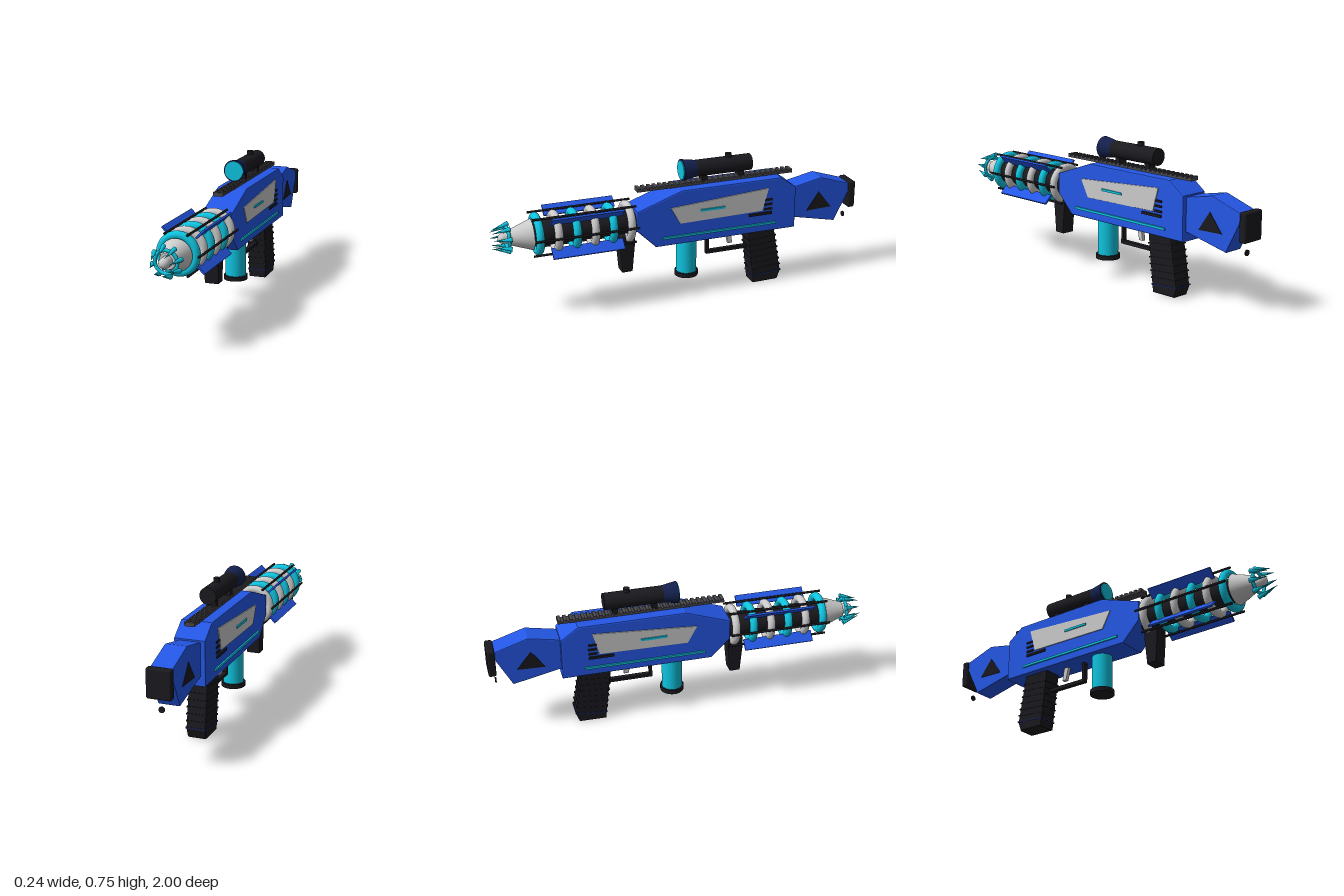
import * as THREE from 'three';
import { RoundedBoxGeometry } from 'three/addons/geometries/RoundedBoxGeometry.js';

const mat = (color) => new THREE.MeshStandardMaterial({ color });
const blue = mat(0x2457e6), cyan = mat(0x0fc4e0), black = mat(0x1a1a1f);
const grey = mat(0xcccccc), navy = mat(0x14204d), railGrey = mat(0x47474c);
const AXIS_Y = 0.447; // height of the barrel axis

export function createModel() {
  const model = new THREE.Group();

  const add = (name, geometry, material, x = 0, y = 0, z = 0, parent = model) => {
    const mesh = new THREE.Mesh(geometry, material);
    mesh.name = name;
    mesh.position.set(x, y, z);
    parent.add(mesh);
    return mesh;
  };
  const box = (name, material, w, h, d, x, y, z, parent) =>
    add(name, new THREE.BoxGeometry(w, h, d), material, x, y, z, parent);
  // Cylinder along z, r1 at the front (+z) end
  const tubeZ = (name, material, r1, r2, z1, z2, y, sides = 32) => {
    const g = new THREE.CylinderGeometry(r1, r2, z1 - z2, sides).rotateX(Math.PI / 2);
    return add(name, g, material, 0, y, (z1 + z2) / 2);
  };
  // Side profile of [z, y] points, extruded across x about the given centre
  const slab = (name, material, points, width, bevel = 0, x = 0) => {
    const shape = new THREE.Shape(points.map((p) => new THREE.Vector2(p[0], p[1])));
    const g = new THREE.ExtrudeGeometry(shape, {
      depth: width - 2 * bevel, bevelEnabled: bevel > 0, bevelSize: bevel,
      bevelThickness: bevel, bevelOffset: -bevel, bevelSegments: 2,
    });
    g.translate(0, 0, -(width - 2 * bevel) / 2).rotateY(-Math.PI / 2);
    return add(name, g, material, x);
  };

  // Receiver and stock
  slab('body', blue, [[0.26, 0.41], [0.26, 0.52], [0.02, 0.605], [-0.54, 0.605],
    [-0.63, 0.54], [-0.63, 0.31], [0.16, 0.31]], 0.162, 0.007);
  slab('stock', blue, [[-0.62, 0.36], [-0.62, 0.53], [-0.79, 0.565], [-0.96, 0.51],
    [-0.96, 0.46], [-0.88, 0.303]], 0.112, 0.005);
  add('buttPad', new RoundedBoxGeometry(0.126, 0.148, 0.04, 2, 0.01), black, 0, 0.443, -0.98);
  tubeZ('stockStud', black, 0.015, 0.015, -0.96, -0.967, 0.31, 16);

  // Decoration on both flanks
  for (const s of [1, -1]) {
    slab('sidePanel', grey, [[0.08, 0.518], [-0.47, 0.556], [-0.435, 0.432], [0.03, 0.425]],
      0.008, 0.002, s * 0.082);
    box('panelLight', cyan, 0.01, 0.012, 0.14, s * 0.087, 0.485, -0.15);
    box('lowerLight', cyan, 0.014, 0.012, 0.64, s * 0.082, 0.356, -0.195);
    for (let i = 0; i < 3; i++) {
      box('vent', black, 0.01, 0.011, 0.045, s * 0.082, 0.49 - i * 0.026, -0.47);
    }
    box('longVent', black, 0.01, 0.014, 0.13, s * 0.083, 0.415, -0.425);
    slab('stockTriangle', black, [[-0.78, 0.485], [-0.855, 0.39], [-0.71, 0.385]],
      0.006, 0, s * 0.056);
  }

  // Toothed top rail
  const rail = new THREE.Group();
  rail.name = 'topRail';
  model.add(rail);
  box('railBase', railGrey, 0.05, 0.012, 0.87, 0, 0.61, -0.195, rail);
  for (let i = 0; i < 29; i++) {
    box('railTooth', railGrey, 0.054, 0.012, 0.017, 0, 0.618, 0.23 - i * 0.0304, rail);
  }

  // Scope
  tubeZ('scopeTube', black, 0.044, 0.044, -0.06, -0.392, 0.687);
  tubeZ('scopeBell', navy, 0.057, 0.044, -0.008, -0.085, 0.687);
  tubeZ('scopeLens', cyan, 0.05, 0.05, -0.003, -0.02, 0.687);
  add('scopeKnob', new THREE.CylinderGeometry(0.017, 0.017, 0.05, 20), black, 0, 0.724, -0.27);
  for (const z of [-0.13, -0.335]) box('scopeMount', black, 0.05, 0.04, 0.028, 0, 0.638, z);

  // Barrel with alternating coils
  tubeZ('barrel', black, 0.064, 0.064, 0.8, 0.24, AXIS_Y);
  for (let i = 0; i < 6; i++) {
    add('coil', new THREE.TorusGeometry(0.089, 0.021, 14, 48), i % 2 ? cyan : grey,
      0, AXIS_Y, 0.292 + i * 0.0955);
  }
  // Rods and diagonal fins around the coils
  for (let i = 0; i < 6; i++) {
    const a = i * Math.PI / 3;
    const rod = tubeZ('guideRod', black, 0.006, 0.006, 0.8, 0.26, AXIS_Y, 10);
    rod.position.x = 0.113 * Math.cos(a);
    rod.position.y += 0.113 * Math.sin(a);
  }
  for (let i = 0; i < 4; i++) {
    const a = Math.PI / 4 + i * Math.PI / 2;
    const fin = box('coolingFin', blue, 0.06, 0.01, 0.375,
      0.121 * Math.cos(a), AXIS_Y + 0.121 * Math.sin(a), 0.525);
    fin.rotation.z = a;
  }

  // Muzzle: cone, rounded tip and a crown of spikes
  tubeZ('muzzleCone', grey, 0.04, 0.08, 0.905, 0.795, AXIS_Y);
  tubeZ('muzzleCore', grey, 0.027, 0.027, 0.94, 0.9, AXIS_Y);
  add('muzzleTip', new THREE.SphereGeometry(0.027, 24, 16), grey, 0, AXIS_Y, 0.94);
  add('crownRing', new THREE.TorusGeometry(0.055, 0.009, 10, 40), cyan, 0, AXIS_Y, 0.918);
  const up = new THREE.Vector3(0, 1, 0);
  for (let i = 0; i < 8; i++) {
    const a = 0.22 + i * Math.PI / 4;
    const at = (r, z) => new THREE.Vector3(r * Math.cos(a), AXIS_Y + r * Math.sin(a), z);
    const base = at(0.073, 0.907), tip = at(0.046, 1);
    const dir = tip.clone().sub(base);
    const mid = base.clone().add(tip).multiplyScalar(0.5);
    const spike = add('crownSpike', new THREE.ConeGeometry(0.0125, dir.length(), 8), cyan,
      mid.x, mid.y, mid.z);
    spike.quaternion.setFromUnitVectors(up, dir.normalize());
  }

  // Foregrip
  slab('foregrip', black, [[0.345, 0.375], [0.345, 0.32], [0.333, 0.175], [0.277, 0.175],
    [0.262, 0.32], [0.262, 0.375]].reverse(), 0.078, 0.006);

  // Energy cell
  add('energyCell', new THREE.CylinderGeometry(0.054, 0.054, 0.21, 32), cyan, 0, 0.215, -0.035);
  add('cellCap', new THREE.CylinderGeometry(0.063, 0.063, 0.024, 32), black, 0, 0.109, -0.035);

  // Trigger and guard
  box('guardFront', black, 0.024, 0.115, 0.016, 0, 0.257, -0.153);
  box('guardBottom', black, 0.024, 0.018, 0.235, 0, 0.207, -0.263);
  slab('trigger', grey, [[-0.255, 0.315], [-0.285, 0.315], [-0.297, 0.24], [-0.272, 0.24]], 0.022, 0.003);

  // Rear grip with slanted ribs
  slab('rearGrip', black, [[-0.37, 0.33], [-0.52, 0.33], [-0.568, 0.05], [-0.55, 0.002],
    [-0.407, 0]], 0.102, 0.008);
  for (let i = 0; i < 7; i++) {
    const y = 0.05 + i * 0.035;
    const z = -0.403 + (y - 0.03) * 0.12;
    const back = -0.57 + (y - 0.05) * 0.17;
    const rib = box('gripRib', i ? black : navy, 0.106, 0.007, z - back, 0, y, (z + back) / 2);
    rib.rotation.x = 0.08;
  }
  return model;
}
